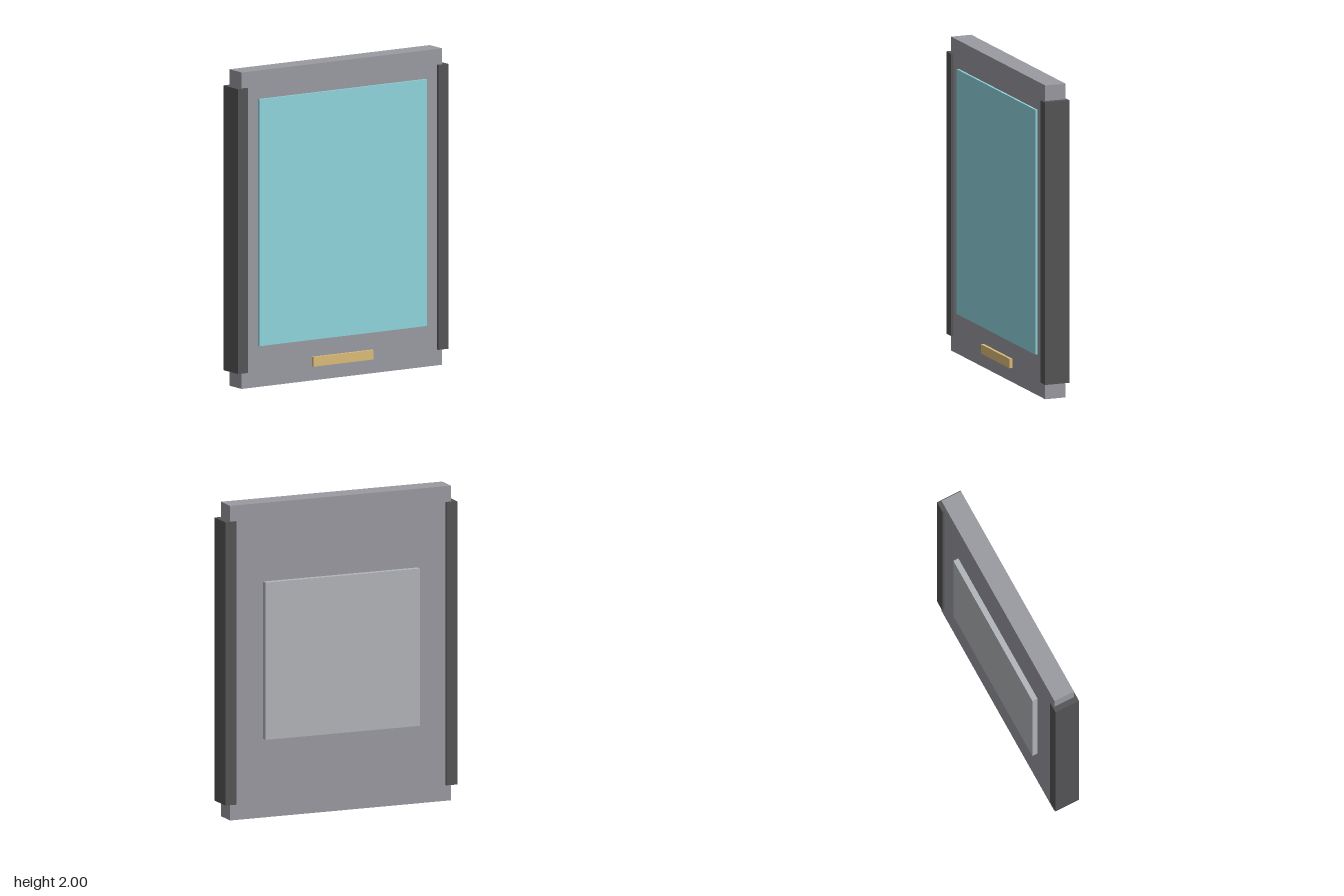
import * as THREE from 'three';

// Box given by its extents along each axis
function block(name, color, [x0, x1], [y0, y1], [z0, z1]) {
  const mesh = new THREE.Mesh(
    new THREE.BoxGeometry(x1 - x0, y1 - y0, z1 - z0),
    new THREE.MeshStandardMaterial({ color })
  );
  mesh.position.set((x0 + x1) / 2, (y0 + y1) / 2, (z0 + z1) / 2);
  mesh.name = name;
  return mesh;
}

export function createModel() {
  const model = new THREE.Group();
  model.name = 'displayPanel';

  // Main slab
  model.add(block('body', 0x9a9aa2, [-0.75, 0.75], [0, 2], [-0.06, 0.077]));

  // Screen and the name strip below it
  model.add(block('screen', 0x8fd5dd, [-0.628, 0.628], [0.26, 1.82], [0.06, 0.092]));
  model.add(block('nameStrip', 0xdcbd78, [-0.225, 0.225], [0.09, 0.15], [0.06, 0.096]));

  // Raised plate on the back
  model.add(block('backPlate', 0xb2b5ba, [-0.525, 0.525], [0.5, 1.5], [-0.096, -0.05]));

  // Grip rails wrapping both side edges
  for (const side of [-1, 1]) {
    const xs = [0.713 * side, 0.787 * side].sort((a, b) => a - b);
    model.add(block(side > 0 ? 'leftRail' : 'rightRail', 0x555557, xs, [0.1, 1.9], [-0.072, 0.093]));
  }

  return model;
}
